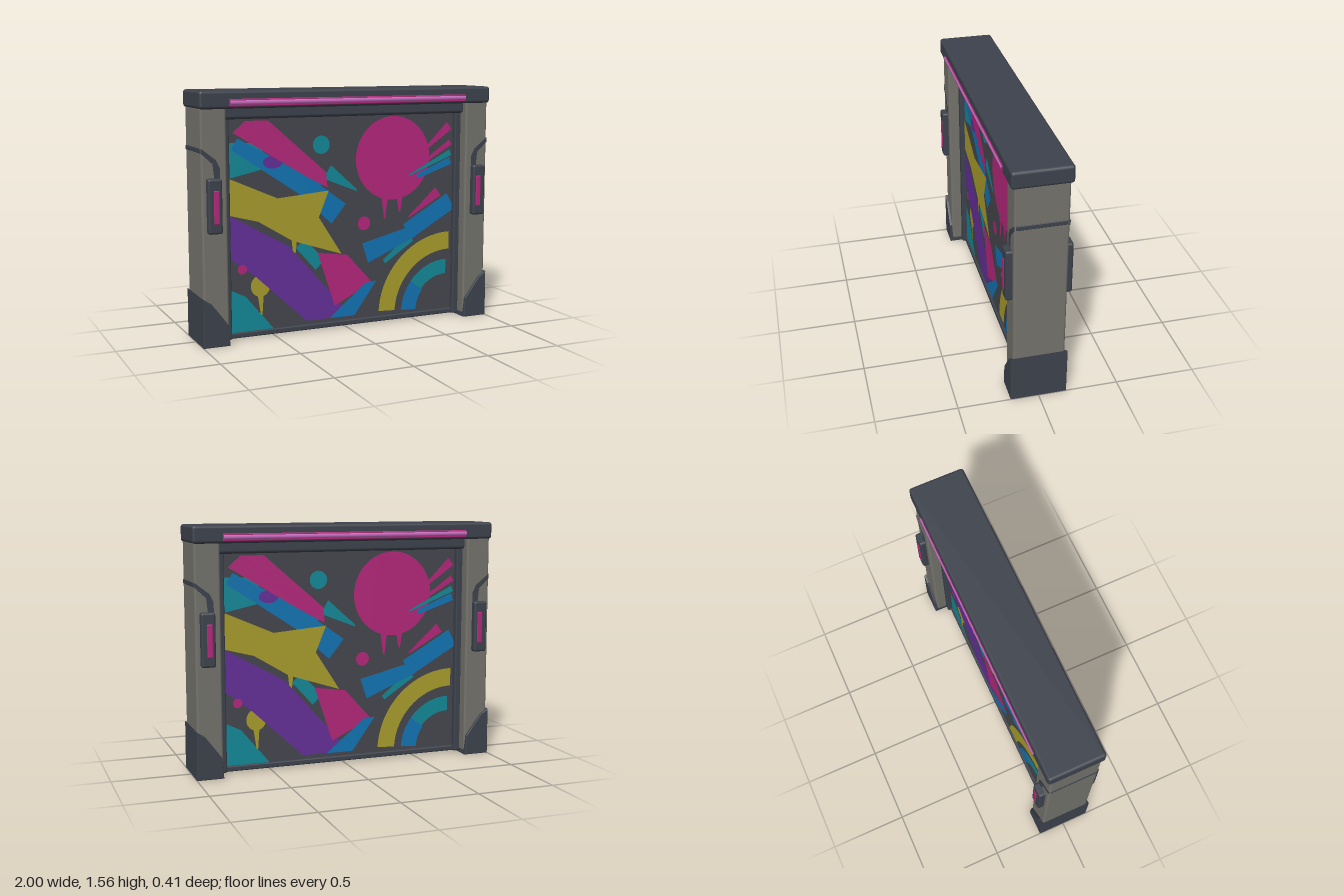
import * as THREE from 'three';
import { RoundedBoxGeometry } from 'three/addons/geometries/RoundedBoxGeometry.js';

const mat = (name, color) => {
  const m = new THREE.MeshStandardMaterial({ color });
  m.name = name;
  return m;
};

// Flat shapes, measured in hundredths of a unit
const outline = (...p) => {
  const shape = new THREE.Shape();
  shape.moveTo(p[0] / 100, p[1] / 100);
  for (let i = 2; i < p.length; i += 2) shape.lineTo(p[i] / 100, p[i + 1] / 100);
  return shape;
};
const disc = (x, y, rx, ry = rx) =>
  new THREE.Shape().absellipse(x / 100, y / 100, rx / 100, ry / 100, 0, Math.PI * 2);
// Tapered brush stroke from one point to another
const stroke = (x0, y0, x1, y1, w0, w1) => {
  const len = Math.hypot(x1 - x0, y1 - y0);
  const nx = (y0 - y1) / len / 2, ny = (x1 - x0) / len / 2;
  return outline(x0 + nx * w0, y0 + ny * w0, x1 + nx * w1, y1 + ny * w1,
    x1 - nx * w1, y1 - ny * w1, x0 - nx * w0, y0 - ny * w0);
};
// Part of a ring, with angles in degrees
const arc = (x, y, inner, outer, from, to) => {
  const a = THREE.MathUtils.degToRad(from), b = THREE.MathUtils.degToRad(to);
  return new THREE.Shape()
    .absarc(x / 100, y / 100, outer / 100, a, b, false)
    .absarc(x / 100, y / 100, inner / 100, b, a, true);
};

export function createModel() {
  const M = {
    frame: mat('dark frame', 0x3d424c),
    post: mat('warm grey', 0x74736c),
    panel: mat('panel charcoal', 0x45474d),
    magenta: mat('magenta', 0xb5287c),
    teal: mat('teal', 0x128a99),
    blue: mat('blue', 0x1275b5),
    yellow: mat('yellow', 0xa99d2c),
    purple: mat('purple', 0x65309a),
    pink: mat('light pink', 0xc46bbd),
  };
  const root = new THREE.Group();
  root.name = 'paintedBarrier';

  const add = (parent, name, geo, material, x = 0, y = 0, z = 0) => {
    const mesh = new THREE.Mesh(geo, material);
    mesh.name = name;
    mesh.position.set(x, y, z);
    parent.add(mesh);
  };
  // Rounded box given by its limits on each axis
  const block = (parent, name, material, [x0, x1], [y0, y1], [z0, z1], r = 0.012) =>
    add(parent, name, new RoundedBoxGeometry(x1 - x0, y1 - y0, z1 - z0, 2, r), material,
      (x0 + x1) / 2, (y0 + y1) / 2, (z0 + z1) / 2);

  // Centre panel with its sill, header and top beam
  block(root, 'panel', M.panel, [-0.82, 0.82], [0.02, 1.45], [-0.055, 0.055], 0.005);
  block(root, 'sill', M.frame, [-0.84, 0.84], [0.01, 0.045], [-0.07, 0.07], 0.008);
  block(root, 'header', M.frame, [-0.84, 0.84], [1.385, 1.47], [-0.12, 0.12], 0.02);
  block(root, 'topBeam', M.frame, [-1, 1], [1.452, 1.56], [-0.18, 0.18], 0.018);

  // Side posts
  for (const s of [-1, 1]) {
    const side = new THREE.Group();
    side.name = s > 0 ? 'leftPost' : 'rightPost';
    root.add(side);
    const span = (a, b) => (s > 0 ? [a, b] : [-b, -a]);
    block(side, 'post', M.post, span(0.83, 0.992), [0.02, 1.47], [-0.16, 0.16], 0.014);
    block(side, 'innerTrim', M.frame, span(0.79, 0.84), [0.01, 1.46], [-0.09, 0.09], 0.01);
    block(side, 'sideSeam', M.frame, span(0.985, 0.996), [1.192, 1.22], [-0.15, 0.15], 0.004);

    // Foot with a slanted upper edge
    const foot = new THREE.ExtrudeGeometry(
      outline(83.5 * s, 0.5, 99.5 * s, 0.5, 99.5 * s, 30, 95 * s, 27, 84.5 * s, 13),
      { depth: 0.34, bevelEnabled: true, bevelThickness: 0.006, bevelSize: 0.005, bevelSegments: 2 });
    add(side, 'foot', foot, M.frame, 0, 0, -0.17);
  }

  const stripPath = new THREE.LineCurve3(new THREE.Vector3(-0.81, 1.489, 0.173), new THREE.Vector3(0.81, 1.489, 0.173));

  // Everything mounted on a face, repeated on the back by half a turn
  for (const back of [false, true]) {
    const face = new THREE.Group();
    face.name = back ? 'backFace' : 'frontFace';
    face.rotation.y = back ? Math.PI : 0;
    root.add(face);

    // Painted layers, each just above the one before
    let layer = 0.057;
    const paint = (name, material, ...shapes) => {
      add(face, name, new THREE.ShapeGeometry(shapes, 24), material, 0, 0, layer);
      layer += 0.0012;
    };
    paint('tealPaint', M.teal,
      stroke(-79, 113, -56, 115, 22, 16), disc(-17, 120.5, 5.8),
      stroke(-13, 103, 8, 90, 10, 1), stroke(-32, 58, -18, 43, 8, 9),
      outline(-79, 32, -69, 27, -50, 4, -79, 4),
      stroke(28, 41, 48, 56, 3, 6), arc(75, 5, 24, 34, 90, 142));
    paint('bluePaint', M.blue,
      stroke(-75, 123, -20, 90, 8, 14), stroke(-30, 96, -5, 75.5, 12, 16),
      stroke(14, 48, 50, 60, 14, 8), stroke(45, 60, 78, 79, 12, 12),
      arc(75, 5, 23, 34, 142, 177));
    paint('yellowPaint', M.yellow,
      outline(-79, 102, -47, 88, -12, 91, -19, 74, -3, 49, -37, 60, -60, 74, -79, 79),
      stroke(-36, 62, -36, 51, 4, 1.5), arc(77, 5, 41, 53, 90, 177),
      disc(-59, 33, 6.5, 7), stroke(-59, 27, -58.5, 14, 4, 1));
    paint('purplePaint', M.purple,
      outline(-79, 79, -40, 57, -2, 14, -12, 7, -28, 7, -62, 39, -79, 52), disc(-50, 111, 6.5, 4));
    paint('magentaPaint', M.magenta,
      outline(-76, 130, -68, 137, -53, 137, -14, 103, -13, 93, -28, 101),
      disc(34, 110, 27, 27.5), disc(13, 68, 4.5), disc(-71, 44.5, 3),
      stroke(49, 101, 77, 119, 1, 4), stroke(58, 115, 76, 130, 2, 6), stroke(46, 70, 68, 86, 1, 7),
      stroke(28, 86, 28, 70, 5, 1), stroke(39, 86, 39, 74, 5, 1),
      outline(-20, 51, 1, 48, 19, 28, -8, 15));
    paint('tealStreak', M.teal, stroke(46, 98, 77, 112, 1, 4));
    paint('blueStreaks', M.blue, stroke(52, 97, 77, 106.5, 3, 5), outline(-12, 7, 14, 28, 22, 29, 6, 7));

    // Light strip in its coloured channel
    block(face, 'stripChannel', M.magenta, [-0.815, 0.81], [1.464, 1.512], [0.165, 0.183], 0.006);
    add(face, 'lightStrip', new THREE.TubeGeometry(stripPath, 1, 0.017, 8), M.pink);

    // Clips with a coloured bar and a curved seam leading to the outer edge
    for (const s of [-1, 1]) {
      const span = (a, b) => (s > 0 ? [a, b] : [-b, -a]);
      block(face, 'clip', M.frame, span(0.872, 0.962), [0.705, 1.04], [0.14, 0.2], 0.014);
      block(face, 'clipBar', M.magenta, span(0.892, 0.928), [0.765, 0.97], [0.192, 0.204], 0.005);
      const seam = outline(87.5 * s, 103, 87.5 * s, 110, 90 * s, 115, 99 * s, 122,
        99 * s, 119, 92 * s, 112.5, 91 * s, 103);
      add(face, 'clipSeam', new THREE.ExtrudeGeometry(seam, { depth: 0.006, bevelEnabled: false }),
        M.frame, 0, 0, 0.157);
    }
  }
  return root;
}
